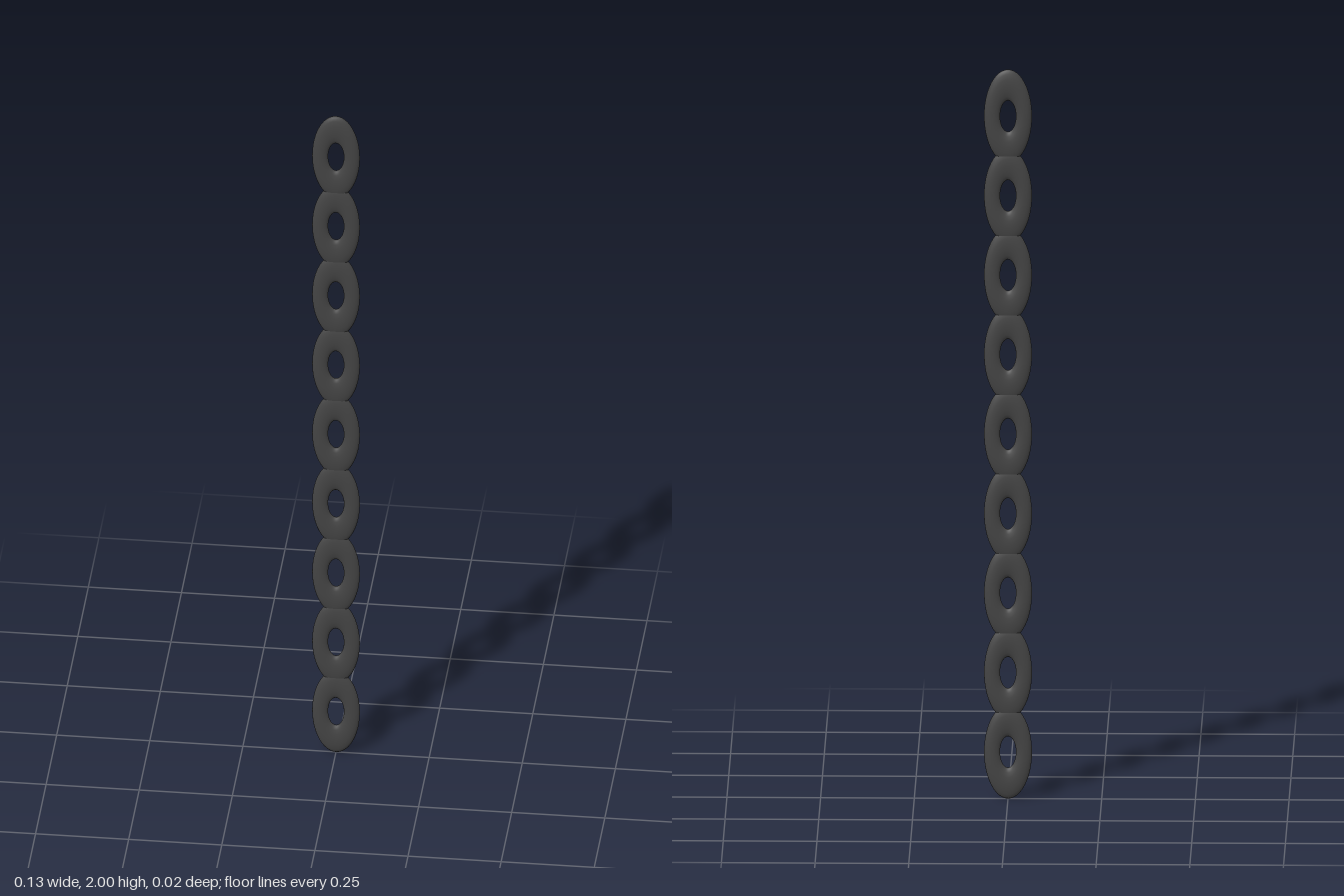
import * as THREE from 'three';

const LINKS = 9;
const HALF_WIDTH = 0.064;
const HALF_HEIGHT = 0.128;
const HALF_DEPTH = 0.0107;

export function createModel() {
  const chain = new THREE.Group();
  chain.name = 'chain';
  const material = new THREE.MeshStandardMaterial({ color: 0x444444 });

  // One flattened oval ring, shared by every link
  const ring = new THREE.TorusGeometry(1, 0.5, 16, 48);
  ring.scale(HALF_WIDTH / 1.5, HALF_HEIGHT / 1.5, HALF_DEPTH / 0.5);

  // Overlapping links stacked from the ground up
  const pitch = (2 - 2 * HALF_HEIGHT) / (LINKS - 1);
  for (let i = 0; i < LINKS; i++) {
    const link = new THREE.Mesh(ring, material);
    link.name = `link${i + 1}`;
    link.position.y = HALF_HEIGHT + i * pitch;
    chain.add(link);
  }
  return chain;
}
